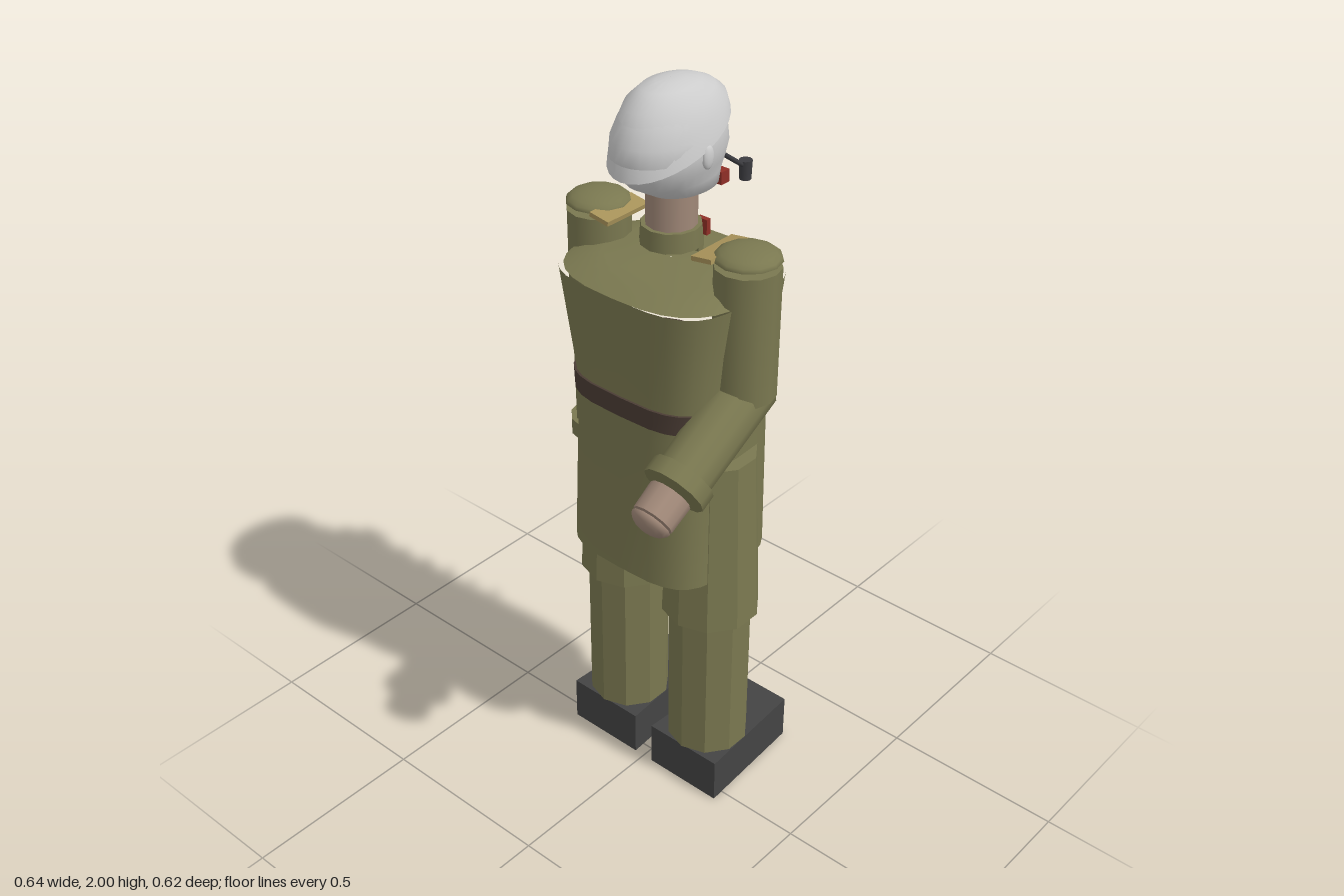
import * as THREE from 'three';
import { toCreasedNormals } from 'three/addons/utils/BufferGeometryUtils.js';

const mat = (color, flatShading = false) => new THREE.MeshStandardMaterial({ color, flatShading });
const M = {
  cloth: mat(0x7a7850), trouser: mat(0x7a7850, true), belt: mat(0x4a3c34), boot: mat(0x444444),
  brass: mat(0xa8935a), skin: mat(0xa08878), red: mat(0x8f2f26), grey: mat(0xcccccc), dark: mat(0x3c3c40),
};
const AXIS_Z = -0.07; // vertical axis of the body

function add(parent, name, geo, material, x = 0, y = 0, z = 0) {
  const mesh = new THREE.Mesh(geo, material);
  mesh.name = name;
  mesh.position.set(x, y, z);
  parent.add(mesh);
  return mesh;
}
const box = (w, h, d) => new THREE.BoxGeometry(w, h, d);
const cyl = (rTop, rBottom, h, n = 12) => new THREE.CylinderGeometry(rTop, rBottom, h, n);
const dome = (r, h, n = 12) => new THREE.SphereGeometry(r, n, 5, 0, Math.PI * 2, 0, Math.PI / 2).scale(1, h / r, 1);

// Stacked superellipse rings: [y, half width, low z, high z, tilt]
function loft(sections, n, power, crease) {
  const pos = [], idx = [];
  const pw = v => Math.sign(v) * Math.abs(v) ** (2 / power);
  for (const [y, w, z0, z1, tilt = 0] of sections) {
    for (let j = 0; j < n; j++) {
      const t = (j / n) * Math.PI * 2, s = pw(Math.sin(t));
      pos.push(w * pw(Math.cos(t)), y + tilt * s, (z0 + z1) / 2 + (s * (z1 - z0)) / 2);
    }
  }
  for (let i = 0; i < sections.length - 1; i++) {
    for (let j = 0; j < n; j++) {
      const k = (j + 1) % n, a = i * n + j, b = i * n + k, c = a + n, d = b + n;
      idx.push(a, c, b, b, c, d);
    }
  }
  const g = new THREE.BufferGeometry();
  g.setAttribute('position', new THREE.Float32BufferAttribute(pos, 3));
  g.setIndex(idx);
  return toCreasedNormals(g, crease);
}

function makeLeg(side) {
  const leg = new THREE.Group();
  leg.name = side > 0 ? 'leftLeg' : 'rightLeg';
  const x = side * 0.145;
  // boot narrows towards the toe
  const boot = box(0.23, 0.13, 0.335), p = boot.attributes.position;
  for (let i = 0; i < p.count; i++) if (p.getZ(i) < 0) p.setX(i, p.getX(i) * 0.83);
  boot.computeVertexNormals();
  add(leg, 'boot', boot, M.boot, x, 0.065, -0.1315);
  add(leg, 'lowerLeg', cyl(0.112, 0.112, 0.46, 10), M.trouser, x, 0.36, AXIS_Z);
  add(leg, 'thigh', cyl(0.113, 0.132, 0.49, 10), M.trouser, x, 0.815, AXIS_Z);
  return leg;
}

function makeArm(side, bend) {
  const arm = new THREE.Group();
  arm.name = side > 0 ? 'leftArm' : 'rightArm';
  arm.position.set(side * 0.234, 0, AXIS_Z);
  add(arm, 'upperArm', cyl(0.082, 0.08, 0.345), M.cloth, 0, 1.433, 0);
  const cap = add(arm, 'shoulderCap', dome(0.083, 0.03), M.cloth, 0, 1.622, 0);
  add(cap, 'shoulderCapBase', new THREE.CircleGeometry(0.083, 12).rotateX(Math.PI / 2), M.cloth);
  const strap = add(arm, 'shoulderStrap', box(0.06, 0.012, 0.148), M.brass, -side * 0.074, 1.622, 0.007);
  strap.rotation.z = side * 0.15;
  // forearm, cuff and hand hang along -y from the elbow
  const elbow = new THREE.Group();
  elbow.name = 'forearmAndHand';
  elbow.position.y = 1.26;
  elbow.rotation.x = bend;
  arm.add(elbow);
  add(elbow, 'forearm', cyl(0.075, 0.071, 0.29), M.cloth, 0, -0.115, 0);
  add(elbow, 'cuff', cyl(0.085, 0.085, 0.045), M.cloth, 0, -0.278, 0);
  add(elbow, 'hand', cyl(0.057, 0.055, 0.075), M.skin, 0, -0.35, 0);
  const tip = add(elbow, 'fingertips', dome(0.054, 0.028), M.skin, 0, -0.393, 0);
  tip.rotation.x = Math.PI;
  add(tip, 'fingertipsBase', new THREE.CircleGeometry(0.054, 12).rotateX(Math.PI / 2), M.skin);
  return arm;
}

function makeHead() {
  const head = new THREE.Group();
  head.name = 'head';
  add(head, 'skull', loft([
    [1.712, 0.002, -0.1, -0.08], [1.718, 0.06, -0.18, -0.02], [1.73, 0.08, -0.207, 0.0],
    [1.765, 0.092, -0.212, 0.06], [1.8, 0.106, -0.22, 0.092], [1.84, 0.118, -0.225, 0.104],
    [1.88, 0.114, -0.22, 0.1], [1.92, 0.102, -0.21, 0.08], [1.96, 0.08, -0.18, 0.055],
    [1.984, 0.054, -0.148, 0.015], [1.995, 0.002, -0.07, -0.06],
  ], 32, 2, 1.2), M.grey);
  // hair shell, low at the nape and high over the brow
  add(head, 'hair', loft([
    [1.86, 0.1, -0.2, 0.08, -0.06], [1.86, 0.121, -0.226, 0.107, -0.06], [1.91, 0.11, -0.218, 0.1, -0.04],
    [1.962, 0.084, -0.188, 0.066, -0.01], [1.987, 0.057, -0.152, 0.02], [1.997, 0.028, -0.11, -0.02],
    [2.0, 0.002, -0.066, -0.062],
  ], 32, 2, 0.9), M.grey);
  const nose = add(head, 'nose', new THREE.ConeGeometry(0.028, 0.075, 12), M.grey, 0, 1.815, -0.222);
  nose.rotation.x = -0.45;
  for (const s of [-1, 1]) {
    add(head, 'ear', new THREE.SphereGeometry(1, 12, 8).scale(0.01, 0.03, 0.018), M.grey, s * 0.117, 1.84, -0.06);
    add(head, 'cheekTab', box(0.035, 0.032, 0.03), M.red, s * 0.052, 1.735, -0.153 - 0.03);
  }
  // pipe
  const a = new THREE.Vector3(0.04, 1.79, -0.19), b = new THREE.Vector3(0.04, 1.715, -0.295);
  add(head, 'pipeStem', new THREE.TubeGeometry(new THREE.LineCurve3(a, b), 1, 0.006, 8), M.dark);
  add(head, 'pipeBowl', cyl(0.017, 0.015, 0.05, 12), M.dark, 0.04, 1.708, -0.296);
  return head;
}

export function createModel() {
  const model = new THREE.Group();
  model.name = 'soldier';

  // coat with flared skirt and shoulders
  add(model, 'coat', loft([
    [0.725, 0.002, -0.075, -0.065], [0.725, 0.225, -0.265, 0.127], [1.15, 0.215, -0.268, 0.113],
    [1.24, 0.218, -0.27, 0.117], [1.52, 0.254, -0.286, 0.143],
  ], 28, 3.5, 0.6), M.cloth);
  add(model, 'coatShoulders', loft([
    [1.52, 0.254, -0.286, 0.143], [1.535, 0.22, -0.24, 0.1],
    [1.545, 0.17, -0.19, 0.05], [1.547, 0.002, -0.072, -0.068],
  ], 28, 2.8, 0.6), M.cloth);
  add(model, 'belt', loft([
    [1.185, 0.2, -0.25, 0.1], [1.185, 0.221, -0.275, 0.121],
    [1.24, 0.223, -0.277, 0.123], [1.24, 0.2, -0.25, 0.1],
  ], 28, 3.5, 0.6), M.belt);

  for (let i = 0; i < 5; i++) {
    const button = add(model, 'button', cyl(0.014, 0.014, 0.015), M.brass, 0, 1.48 - i * 0.115, -0.293);
    button.rotation.x = Math.PI / 2;
  }
  add(model, 'medalRibbon', box(0.04, 0.045, 0.012), M.red, -0.128, 1.515, -0.293);
  add(model, 'medal', cyl(0.027, 0.027, 0.012), M.brass, -0.125, 1.475, -0.294).rotation.x = Math.PI / 2;

  // neck and collar
  add(model, 'neck', cyl(0.064, 0.064, 0.12), M.skin, 0, 1.68, AXIS_Z);
  add(model, 'collar', cyl(0.075, 0.078, 0.05), M.cloth, 0, 1.615, AXIS_Z);
  add(model, 'collarFront', box(0.064, 0.05, 0.02), M.cloth, 0, 1.567, -0.143);
  for (const s of [-1, 1]) add(model, 'collarTab', box(0.032, 0.04, 0.014), M.red, s * 0.036, 1.613, -0.146);

  model.add(makeHead(), makeLeg(1), makeLeg(-1), makeArm(1, -1.03), makeArm(-1, 0));
  return model;
}
